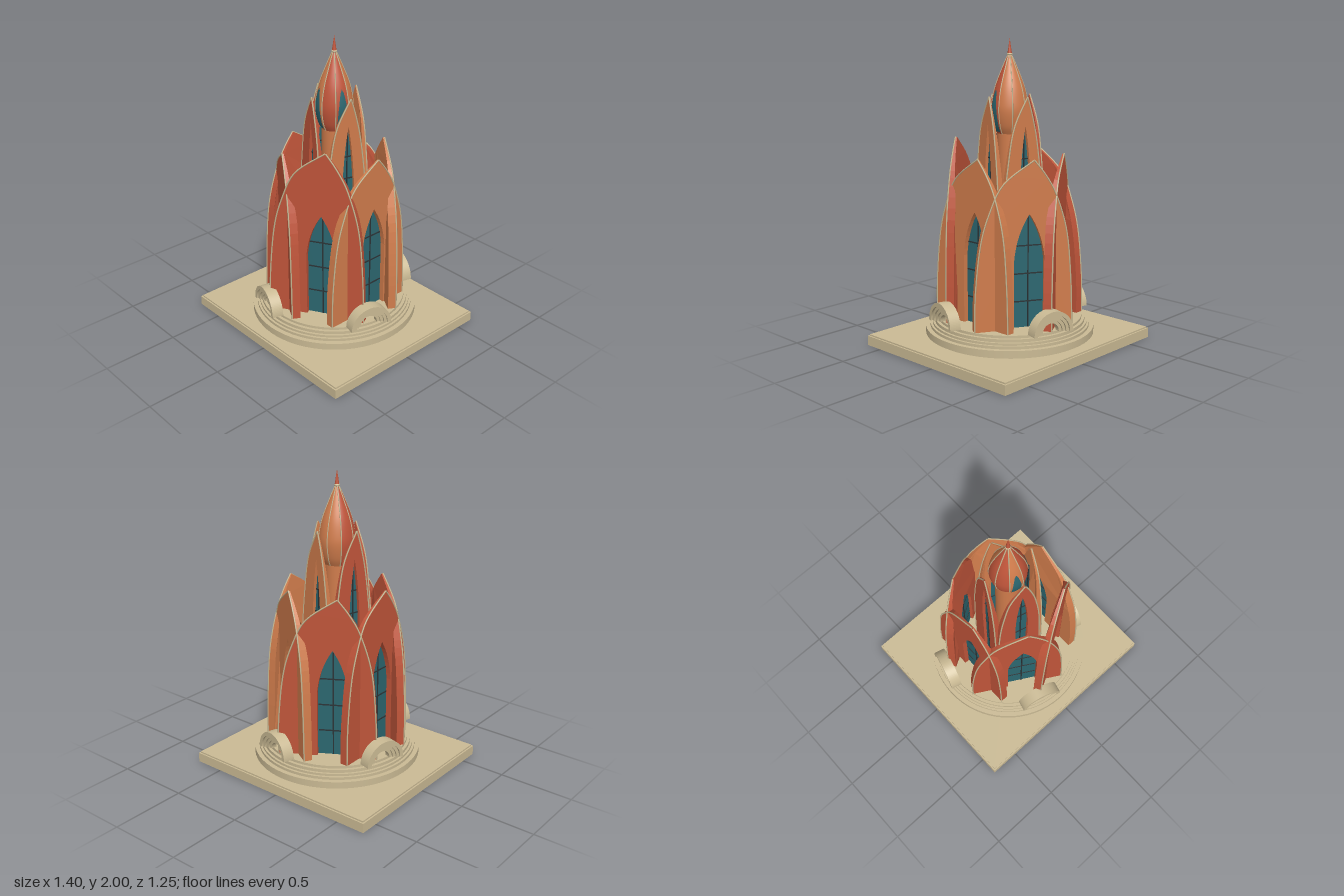
import * as THREE from 'three';

const flat = (color, extra = {}) => Object.assign(new THREE.MeshStandardMaterial({ color }), extra);

export function createModel() {
  const root = new THREE.Group();
  const red = flat(0xc0553a); red.name = 'terracotta red';
  const orange = flat(0xd07c4c); orange.name = 'warm orange';
  const stone = flat(0xcaba94); stone.name = 'pale stone';
  const teal = flat(0x2c6770, { side: THREE.DoubleSide }); teal.name = 'teal glass';
  const dark = flat(0x2b3437); dark.name = 'dark mullion';

  const add = (parent, name, geo, mat, x = 0, y = 0, z = 0) => {
    const m = new THREE.Mesh(geo, mat);
    m.name = name;
    m.position.set(x, y, z);
    parent.add(m);
    return m;
  };
  // Group whose local +z points outward at the given angle (measured from +x towards +z)
  const facing = (name, deg) => {
    const g = new THREE.Group();
    g.name = name;
    g.rotation.y = Math.PI / 2 - THREE.MathUtils.degToRad(deg);
    root.add(g);
    return g;
  };

  // Square plate with a small raised bevel
  add(root, 'basePlate', new THREE.BoxGeometry(1.4, 0.064, 1.25), stone, 0, 0.032, 0);
  add(root, 'basePlateTop', new THREE.BoxGeometry(1.38, 0.01, 1.23), stone, 0, 0.069, 0);

  // Round stepped plinth
  [[0.535, 0.07, 0.085], [0.555, 0.085, 0.13], [0.525, 0.13, 0.148], [0.51, 0.148, 0.163],
    [0.495, 0.163, 0.183], [0.475, 0.183, 0.2]].forEach(([r, a, b], i) =>
    add(root, 'plinthStep' + (i + 1), new THREE.CylinderGeometry(r, r, b - a, 64), stone, 0, (a + b) / 2, 0));

  // Petal edges: sideways position, height fraction
  const leftEdge = [[-0.33, 0], [-0.325, 0.23], [-0.29, 0.52], [-0.23, 0.71], [-0.14, 0.87], [0.055, 1]];
  const rightEdge = [[0.055, 1], [0.13, 0.91], [0.2, 0.79], [0.27, 0.57], [0.3, 0.28], [0.31, 0]];
  const Y0 = 0.2;

  // Pointed arch outline from right foot over the apex to left foot
  const archPoints = ({ x, half, top }) => {
    const spring = top * 0.6, pts = [];
    const side = (s) => new THREE.QuadraticBezierCurve(new THREE.Vector2(x + s * half, spring),
      new THREE.Vector2(x + s * half * 0.85, top * 0.83), new THREE.Vector2(x, top)).getPoints(8);
    pts.push(new THREE.Vector2(x + half, 0), ...side(1), ...side(-1).reverse().slice(1),
      new THREE.Vector2(x - half, 0));
    return pts;
  };

  function petal({ name, deg, dist, depth, width, height, win, mat, bars }) {
    const g = facing(name, deg);
    const edge = (pts) => new THREE.SplineCurve(pts.map(([x, f]) =>
      new THREE.Vector2(x * width, f * height))).getPoints(20);
    const L = edge(leftEdge), R = edge(rightEdge), arch = archPoints(win);

    // Wall with arched opening, thinning on the inside towards its tip
    const geo = new THREE.ExtrudeGeometry(new THREE.Shape([...L, ...R.slice(1), ...arch]),
      { depth, bevelEnabled: false, steps: 1 });
    const p = geo.attributes.position;
    for (let i = 0; i < p.count; i++) {
      const k = Math.max(0, (p.getY(i) / height - 0.65) / 0.35);
      p.setZ(i, depth - (depth - p.getZ(i)) * (1 - 0.8 * k));
    }
    geo.computeVertexNormals();
    add(g, 'petalWall', geo, mat, 0, Y0, dist - depth);

    // Pale trim along both edges
    for (const pts of [L, R]) {
      const path = new THREE.CatmullRomCurve3(pts.map((v) => new THREE.Vector3(v.x, v.y, 0)));
      add(g, 'edgeTrim', new THREE.TubeGeometry(path, 30, 0.005, 5), stone, 0, Y0, dist);
    }

    // Glass and glazing bars
    const zg = dist - depth * 0.6;
    add(g, 'windowGlass', new THREE.ShapeGeometry(new THREE.Shape(arch)), teal, 0, Y0, zg);
    add(g, 'uprightBar', new THREE.BoxGeometry(0.008, win.top * 0.97, 0.009), dark,
      win.x, Y0 + win.top * 0.485, zg);
    for (const y of bars) {
      add(g, 'crossBar', new THREE.BoxGeometry(win.half * 1.9, 0.008, 0.009), dark, win.x, y, zg);
    }
  }

  // Lower ring of six overlapping petals
  for (let i = 0; i < 6; i++) {
    petal({
      name: 'lowerPetal' + (i + 1), deg: i * 60, dist: 0.346, depth: 0.054, width: 1,
      height: i === 1 ? 1.17 : 1.07, win: { x: 0.025, half: 0.1, top: 0.735 },
      mat: i === 0 || i === 5 ? orange : red, bars: [0.37, 0.55, 0.73],
    });
  }
  // Upper ring of four petals
  for (let i = 0; i < 4; i++) {
    petal({
      name: 'upperPetal' + (i + 1), deg: 15 + i * 90, dist: 0.17, depth: 0.035, width: 0.5,
      height: 1.44, win: { x: 0.012, half: 0.045, top: 1.26 },
      mat: i === 0 || i === 3 ? orange : red, bars: [0.5, 0.8, 1.1, 1.25],
    });
  }

  // Small stepped arches around the plinth
  for (let i = 0; i < 4; i++) {
    const g = facing('plinthArch' + (i + 1), 15 + i * 90);
    [[0.145, 0.12, 0.075], [0.12, 0.1, 0.062], [0.1, 0.08, 0.05], [0.08, 0.06, 0.038]].forEach(([ro, ri, d]) => {
      const s = new THREE.Shape();
      s.absarc(0, 0, ro, 0, Math.PI, false);
      s.absarc(0, 0, ri, Math.PI, 0, true);
      add(g, 'archRing', new THREE.ExtrudeGeometry(s, { depth: d, bevelEnabled: false, curveSegments: 24 }),
        stone, 0, Y0, 0.45);
    });
  }

  // Onion dome in eight gores with pale ribs
  const domeCurve = new THREE.SplineCurve([[0.082, 1.4], [0.103, 1.45], [0.117, 1.53], [0.114, 1.6],
    [0.092, 1.7], [0.045, 1.82], [0.01, 1.9]].map(([x, y]) => new THREE.Vector2(x, y)));
  const profile = domeCurve.getPoints(28);
  const dome = new THREE.Group();
  dome.name = 'dome';
  root.add(dome);
  const rad = THREE.MathUtils.degToRad;
  for (let i = 0; i < 8; i++) {
    const a = 15 + i * 45;
    const mat = [105, 240, 285, 330].includes(a) ? orange : red;
    add(dome, 'domeGore', new THREE.LatheGeometry(profile, 8, rad(90 - a - 22.5), rad(45)), mat);
    const b = rad(a + 22.5);
    const rib = new THREE.CatmullRomCurve3(profile.map((v) =>
      new THREE.Vector3(v.x * Math.cos(b), v.y, v.x * Math.sin(b))));
    add(dome, 'domeRib', new THREE.TubeGeometry(rib, 28, 0.004, 5), stone);
  }
  // Two pointed windows lying on the dome
  for (const deg of [15, 105]) {
    const pos = [], idx = [], n = 16, m = 6;
    for (let j = 0; j <= n; j++) {
      const v = domeCurve.getPoint(0.06 + 0.58 * j / n);
      const half = rad(17) * Math.sqrt(1 - (j / n) ** 2);
      for (let k = 0; k <= m; k++) {
        const a = rad(deg) + half * (2 * k / m - 1), r = v.x + 0.003;
        pos.push(r * Math.cos(a), v.y, r * Math.sin(a));
        if (j < n && k < m) {
          const q = j * (m + 1) + k;
          idx.push(q, q + m + 1, q + 1, q + 1, q + m + 1, q + m + 2);
        }
      }
    }
    const geo = new THREE.BufferGeometry();
    geo.setAttribute('position', new THREE.Float32BufferAttribute(pos, 3));
    geo.setIndex(idx);
    geo.computeVertexNormals();
    add(dome, 'domeWindow', geo, teal);
  }
  // Core shaft below the dome, and the finial above
  add(root, 'coreShaft', new THREE.CylinderGeometry(0.082, 0.082, 1.2, 24), orange, 0, 0.8, 0);
  add(root, 'finialCollar', new THREE.SphereGeometry(0.018, 16, 10), stone, 0, 1.9, 0).scale.y = 0.6;
  add(root, 'finialSpike', new THREE.ConeGeometry(0.015, 0.1, 16), red, 0, 1.95, 0);

  return root;
}
